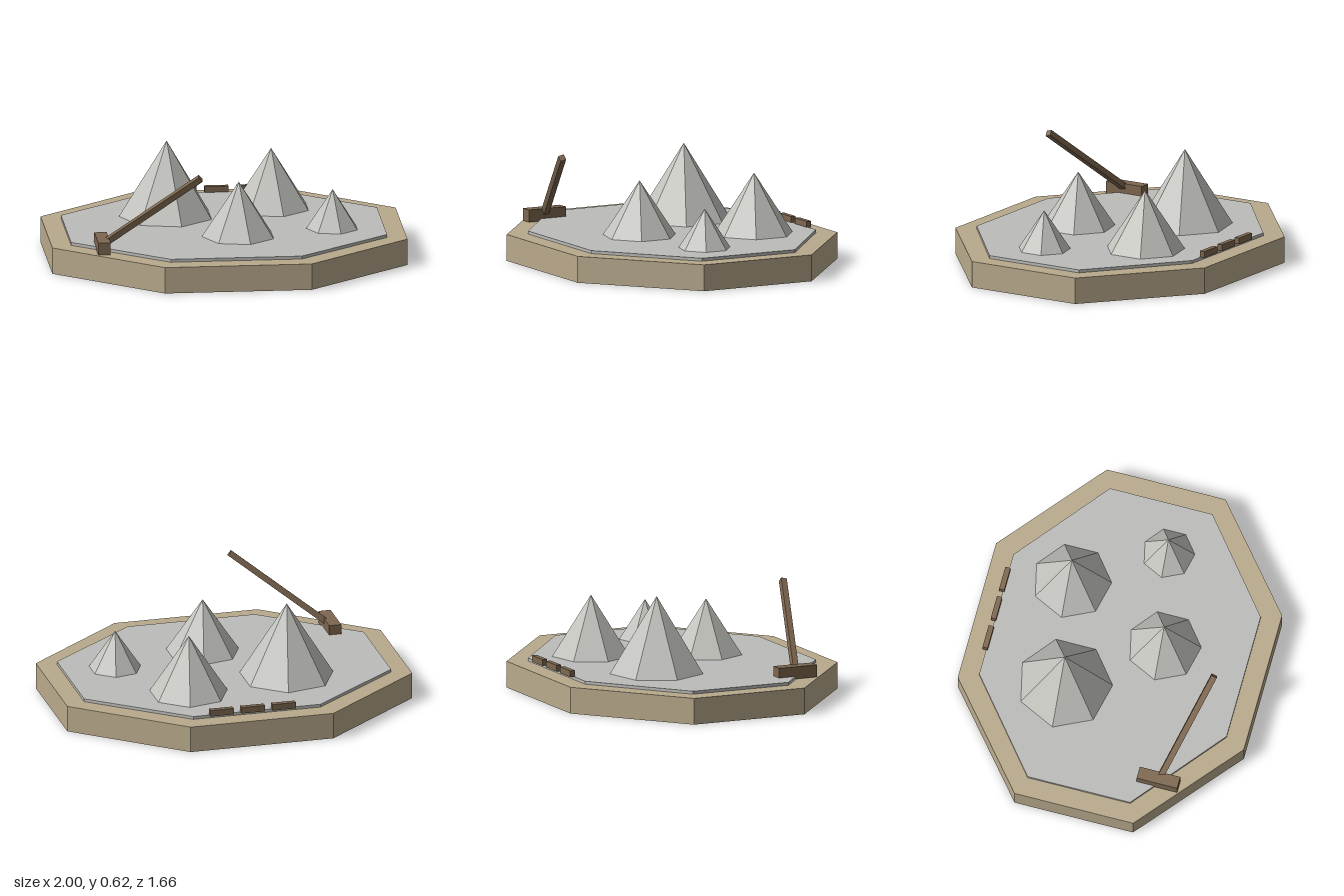
import * as THREE from 'three';

const mat = (name, color) => {
  const m = new THREE.MeshStandardMaterial({ color, flatShading: true });
  m.name = name;
  return m;
};

export function createModel() {
  const group = new THREE.Group();
  const sand = mat('sandstone', 0xb9aa8c);
  const gravel = mat('gravel grey', 0xbcbcba);
  const stone = mat('pale stone', 0xc4c4bf);
  const wood = mat('brown wood', 0x7e6850);

  const add = (name, geometry, material, x, y, z) => {
    const mesh = new THREE.Mesh(geometry, material);
    mesh.name = name;
    mesh.position.set(x, y, z);
    group.add(mesh);
    return mesh;
  };

  // Stretched octagonal slab, measured across its flats
  const octagon = (name, halfX, halfZ, y0, y1, material) => {
    const r = 1 / Math.cos(Math.PI / 8);
    const geo = new THREE.CylinderGeometry(r, r, y1 - y0, 8, 1, false, Math.PI / 8);
    geo.scale(halfX, 1, halfZ);
    add(name, geo, material, 0, (y0 + y1) / 2, 0);
  };
  octagon('base', 1, 0.83, 0, 0.15, sand);
  octagon('yardFloor', 0.89, 0.718, 0.01, 0.167, gravel);

  // Seven-sided stone heaps: x, z, radius, peak height
  const floor = 0.165;
  [
    [-0.3, -0.24, 0.27, 0.6],
    [0.3, -0.36, 0.225, 0.51],
    [0.06, 0.24, 0.21, 0.48],
    [0.6, 0.12, 0.15, 0.39],
  ].forEach(([x, z, r, top], i) => {
    const geo = new THREE.ConeGeometry(r, top - floor, 7, 1, false, -Math.PI / 2);
    add(`stoneHeap${i + 1}`, geo, stone, x, (top + floor) / 2, z);
  });

  // Row of short planks at the back
  [-0.153, 0.027, 0.207].forEach((x, i) =>
    add(`plank${i + 1}`, new THREE.BoxGeometry(0.135, 0.036, 0.03), wood, x, 0.183, -0.724));

  // Mallet resting on the rim, handle leaning up and forward
  add('malletHead', new THREE.BoxGeometry(0.07, 0.07, 0.235), wood, -0.725, 0.188, 0.418);
  const a = new THREE.Vector3(-0.705, 0.2, 0.425);
  const b = new THREE.Vector3(-0.19, 0.6, 0.598);
  const dir = b.clone().sub(a);
  const mid = a.clone().add(b).multiplyScalar(0.5);
  const handle = add('malletHandle', new THREE.BoxGeometry(0.034, dir.length(), 0.034), wood, mid.x, mid.y, mid.z);
  handle.quaternion.setFromUnitVectors(new THREE.Vector3(0, 1, 0), dir.normalize());

  return group;
}
